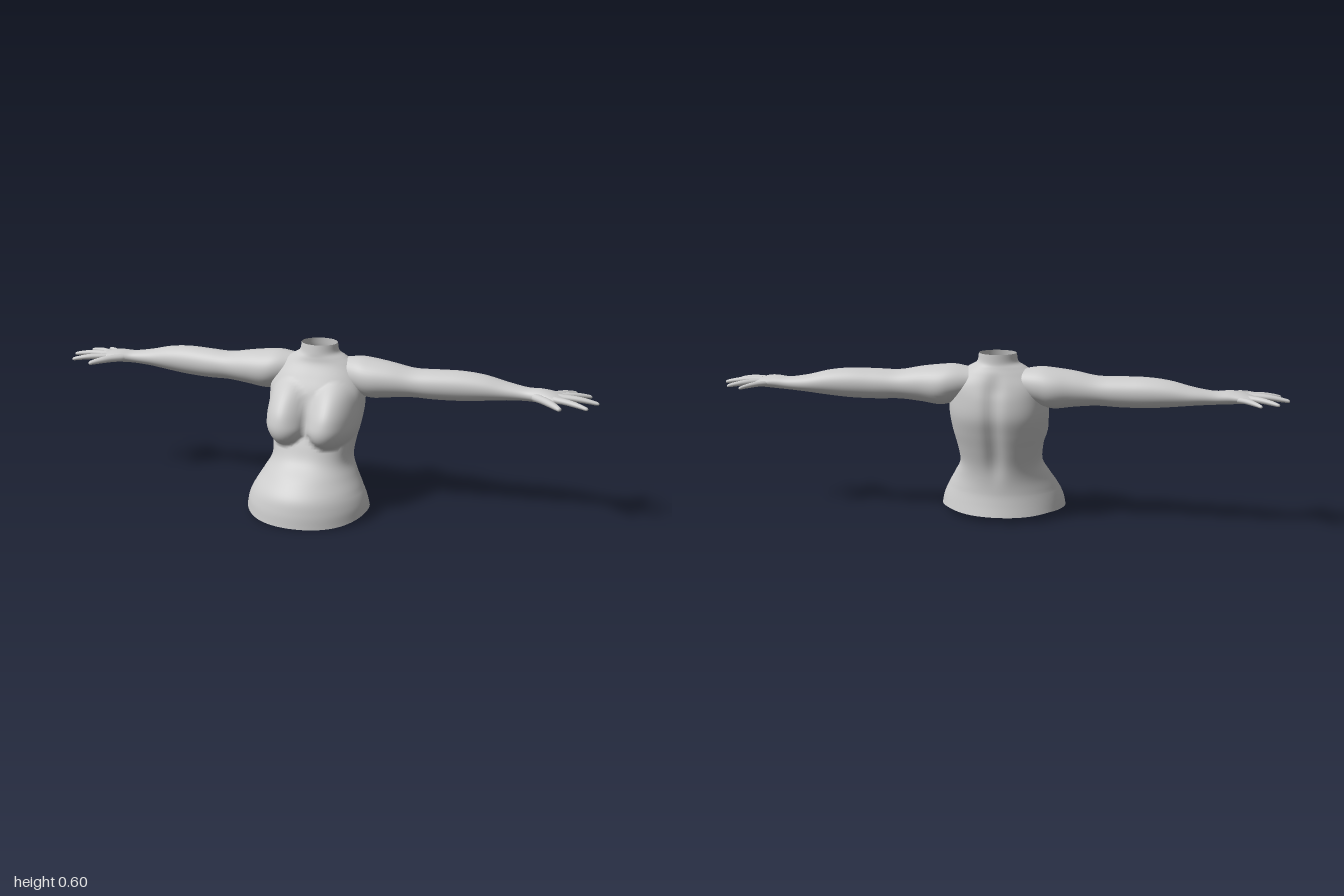
import * as THREE from 'three';

const material = new THREE.MeshStandardMaterial({ color: 0xcccccc, side: THREE.DoubleSide });

// Smooth skin over key rings; ring(section, angle) gives a point, shape() may adjust it.
function loft(sections, ring, around, steps, shape = (p) => p, capEnd = false) {
  const rows = (sections.length - 1) * steps;
  const pos = new Float32Array((rows + 1) * around * 3);
  for (let i = 0; i < around; i++) {
    const a = (i / around) * Math.PI * 2;
    const curve = new THREE.CatmullRomCurve3(sections.map((s) => ring(s, a)), false, 'catmullrom', 0.5);
    for (let j = 0; j <= rows; j++) shape(curve.getPoint(j / rows)).toArray(pos, (j * around + i) * 3);
  }
  const index = [];
  for (let j = 0; j < rows; j++) {
    for (let i = 0; i < around; i++) {
      const k = (i + 1) % around;
      const a = j * around + i, b = j * around + k;
      index.push(a, b, b + around, a, b + around, a + around);
    }
  }
  if (capEnd) {
    const r = rows * around;
    for (let i = 1; i < around - 1; i++) index.push(r, r + i, r + i + 1);
  }
  const geo = new THREE.BufferGeometry();
  geo.setAttribute('position', new THREE.BufferAttribute(pos, 3));
  geo.setIndex(index);
  geo.computeVertexNormals();
  return geo;
}

// Reflected copy across x = 0 with the winding restored
function mirrored(source) {
  const geo = source.clone();
  geo.scale(-1, 1, 1);
  const ix = geo.index.array;
  for (let i = 0; i < ix.length; i += 3) [ix[i], ix[i + 1]] = [ix[i + 1], ix[i]];
  geo.computeVertexNormals();
  return geo;
}

function mesh(name, geo) {
  const m = new THREE.Mesh(geo, material);
  m.name = name;
  return m;
}

const bend = (v, e) => Math.sign(v) * Math.pow(Math.abs(v), e);

// Torso: height, half width, z of widest point, front z, back z
const TORSO = [
  [0, 0.225, 0.02, 0.222, -0.165], [0.05, 0.217, 0.02, 0.216, -0.155],
  [0.1, 0.2, 0.01, 0.2, -0.148], [0.15, 0.172, -0.01, 0.157, -0.149],
  [0.2, 0.147, -0.03, 0.102, -0.155], [0.26, 0.152, -0.05, 0.074, -0.172],
  [0.32, 0.166, -0.06, 0.05, -0.19], [0.38, 0.175, -0.07, 0.035, -0.204],
  [0.44, 0.175, -0.08, 0.018, -0.2], [0.49, 0.165, -0.1, -0.008, -0.187],
  [0.53, 0.135, -0.1, -0.03, -0.174], [0.553, 0.1, -0.1, -0.037, -0.165],
  [0.57, 0.073, -0.1, -0.04, -0.16], [0.6, 0.066, -0.1, -0.045, -0.158],
];

function torsoRing([y, w, zc, zf, zb], a) {
  const c = Math.cos(a);
  const e = y > 0.15 && y < 0.5 ? 0.88 : 1;
  return new THREE.Vector3(w * bend(Math.sin(a), e), y, zc + bend(c, e) * (c > 0 ? zf - zc : zc - zb));
}

function torsoShape(p) {
  const { x, y, z } = p;
  // Bust
  if (z > -0.07) {
    const dx = (Math.abs(x) - 0.088) / 0.088;
    const dy = (y - 0.335) / (y > 0.335 ? 0.145 : 0.082);
    const q = 1 - dx * dx - dy * dy;
    if (q > 0) {
      const f = Math.pow(q, 0.75 + 0.45 * THREE.MathUtils.smoothstep(dy, -0.3, 0.6));
      p.z += 0.073 * f * THREE.MathUtils.smoothstep(z, -0.07, -0.01);
      p.x *= 1 + 0.06 * f;
    }
  }
  // Spine groove
  if (z < -0.1) {
    const fade = THREE.MathUtils.smoothstep(y, 0.1, 0.25) * (1 - THREE.MathUtils.smoothstep(y, 0.46, 0.55));
    p.z += 0.012 * fade * Math.exp(-((x / 0.028) ** 2));
  }
  // Lower rim rises from the belly towards the back
  if (y < 0.1) {
    const rise = 0.028 * THREE.MathUtils.smoothstep(-z, -0.222, 0) - 0.008 * THREE.MathUtils.smoothstep(-z, 0.08, 0.165);
    p.y += rise * (1 - y / 0.1);
  }
  return p;
}

// Arm and palm: x, top y, bottom y, front z, back z
const ARM = [
  [0.09, 0.548, 0.45, -0.06, -0.165], [0.15, 0.557, 0.425, -0.035, -0.182],
  [0.2, 0.554, 0.412, -0.028, -0.187], [0.27, 0.545, 0.42, -0.036, -0.175],
  [0.35, 0.531, 0.427, -0.05, -0.167], [0.43, 0.532, 0.425, -0.056, -0.17],
  [0.52, 0.533, 0.427, -0.065, -0.175], [0.6, 0.525, 0.434, -0.075, -0.175],
  [0.68, 0.506, 0.443, -0.087, -0.17], [0.75, 0.495, 0.448, -0.092, -0.158],
  [0.8, 0.497, 0.45, -0.077, -0.156], [0.84, 0.492, 0.453, -0.065, -0.16],
  [0.875, 0.483, 0.457, -0.068, -0.158], [0.893, 0.474, 0.464, -0.085, -0.145],
];

const armRing = ([x, top, bottom, front, back], a) => new THREE.Vector3(
  x,
  (top + bottom) / 2 - (Math.sin(a) * (top - bottom)) / 2,
  (front + back) / 2 + (Math.cos(a) * (front - back)) / 2,
);

// Fingers: root x, z, tip x, z, radius, root y
const FINGERS = {
  thumb: [0.785, -0.09, 0.885, 0.0, 0.0155, 0.472],
  indexFinger: [0.85, -0.08, 0.972, -0.035, 0.0125, 0.474],
  middleFinger: [0.86, -0.106, 1.0, -0.11, 0.0125, 0.477],
  ringFinger: [0.85, -0.13, 0.965, -0.188, 0.012, 0.474],
  littleFinger: [0.825, -0.142, 0.907, -0.223, 0.011, 0.47],
};

function fingerGeometry([x0, z0, x1, z1, radius, y0]) {
  const dir = new THREE.Vector2(x1 - x0, z1 - z0).normalize();
  // Distance along the finger, relative thickness
  const rings = [[0, 1.1], [0.3, 1], [0.52, 0.95], [0.75, 0.8], [0.93, 0.62], [0.985, 0.4], [1, 0.08]];
  return loft(rings, ([t, k], a) => {
    const side = Math.cos(a) * radius * k;
    return new THREE.Vector3(
      THREE.MathUtils.lerp(x0, x1, t) - dir.y * side,
      y0 - (y0 - 0.464) * t + 0.004 * Math.sin(t * Math.PI) - Math.sin(a) * radius * k * 0.85,
      THREE.MathUtils.lerp(z0, z1, t) + dir.x * side,
    );
  }, 14, 3, undefined, true);
}

export function createModel() {
  const model = new THREE.Group();
  model.name = 'upperBody';
  model.add(mesh('torso', loft(TORSO, torsoRing, 96, 6, torsoShape)));

  // Arms and hands, left then mirrored
  const arm = loft(ARM, armRing, 40, 5, undefined, true);
  for (const side of ['left', 'right']) {
    const place = (geo) => (side === 'left' ? geo : mirrored(geo));
    const limb = new THREE.Group();
    limb.name = side + 'Limb';
    limb.add(mesh(side + 'Arm', place(arm)));
    for (const [name, spec] of Object.entries(FINGERS)) {
      limb.add(mesh(`${side} ${name}`, place(fingerGeometry(spec))));
    }
    model.add(limb);
  }
  return model;
}
